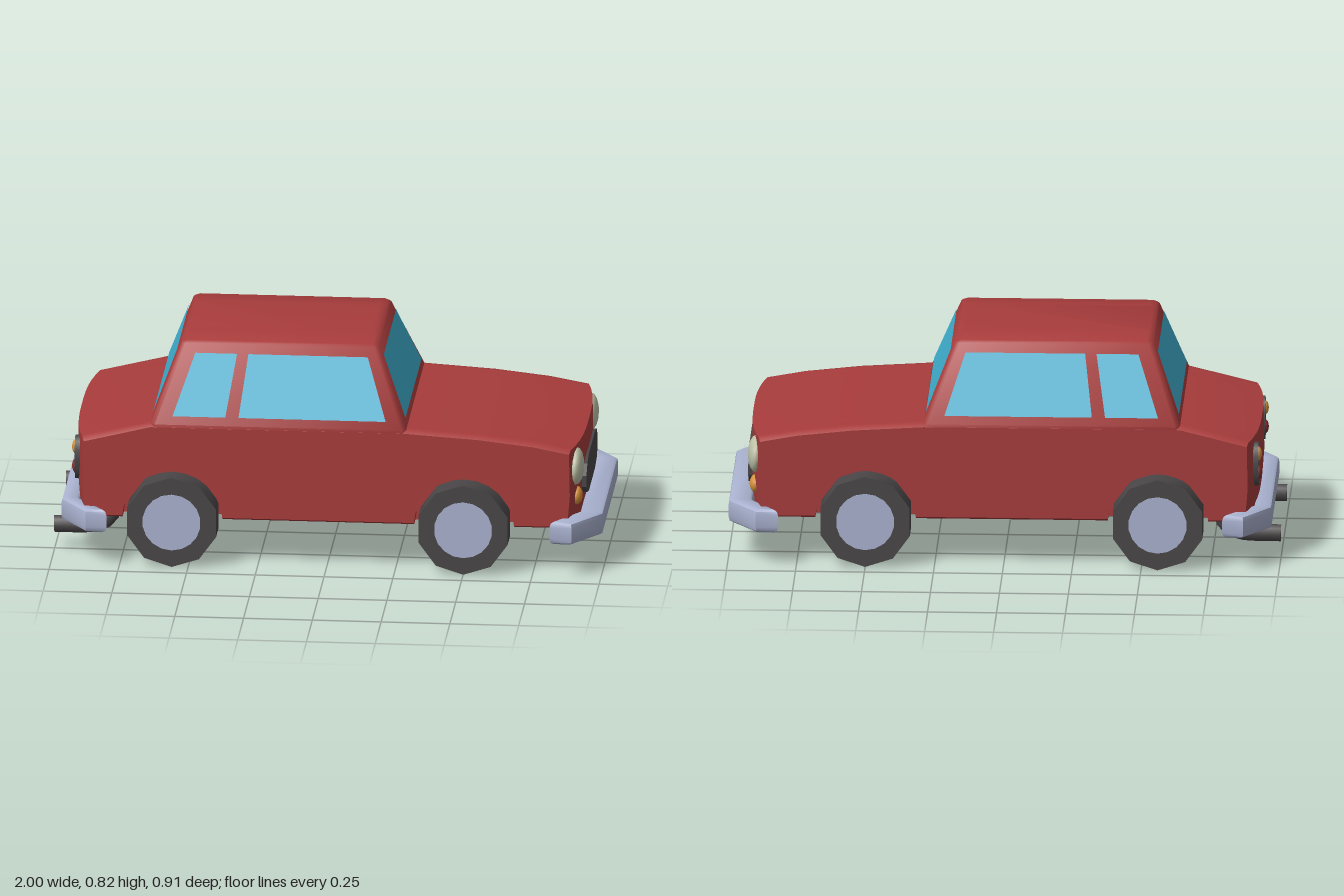
import * as THREE from 'three';
import { toCreasedNormals } from 'three/addons/utils/BufferGeometryUtils.js';

const mat = (name, color, side = THREE.FrontSide) => {
  const m = new THREE.MeshStandardMaterial({ color, side });
  m.name = name;
  return m;
};

export function createModel() {
  const car = new THREE.Group();
  car.name = 'car';
  const red = mat('red paint', 0xa83c3c);
  const glass = mat('blue glass', 0x40b0d0, THREE.DoubleSide);
  const dark = mat('dark rubber', 0x4a4648);
  const chrome = mat('pale chrome', 0xaab2d0);
  const lamp = mat('cream lamp', 0xc0c4a8);
  const amber = mat('amber lamp', 0xd8923a);
  const tailRed = mat('tail lamp red', 0x8a3030);

  const add = (name, geo, material, x = 0, y = 0, z = 0) => {
    const m = new THREE.Mesh(geo, material);
    m.name = name;
    m.position.set(x, y, z);
    car.add(m);
    return m;
  };
  const polygon = (pts) => new THREE.Shape(pts.map(([x, y]) => new THREE.Vector2(x, y)));

  // Lower body: side profile, extruded in a core and two outer panels with wheel arches
  const wheelX = [-0.56, 0.5], axleY = 0.17, sideZ = 0.403, coreZ = 0.33;
  const profile = (arches) => {
    const s = new THREE.Shape();
    s.moveTo(-0.915, 0.172);
    if (arches) {
      for (const x of wheelX) {
        s.lineTo(x - 0.182, 0.172);
        s.absarc(x, 0.172, 0.182, Math.PI, 0, true);
      }
    }
    const top = [[0.915, 0.172], [0.925, 0.3], [0.922, 0.47], [0.75, 0.495], [0.55, 0.517],
      [0.29, 0.533], [-0.64, 0.533], [-0.922, 0.472], [-0.925, 0.3]];
    top.forEach(([x, y]) => s.lineTo(x, y));
    s.closePath();
    return s;
  };
  const bodyPart = (name, z0, z1, arches) => {
    const geo = new THREE.ExtrudeGeometry(profile(arches),
      { depth: z1 - z0, steps: arches ? 4 : 10, bevelEnabled: false, curveSegments: 6 });
    geo.translate(0, 0, z0);
    const p = geo.attributes.position;
    for (let i = 0; i < p.count; i++) {
      const x = p.getX(i), y = p.getY(i), z = Math.abs(p.getZ(i));
      // bow the nose and tail in plan, and soften the outer edges
      if (Math.abs(x) > 0.85) p.setX(i, x * (1 - 0.042 * (z / 0.4) ** 3));
      if (z > 0.4) p.setY(i, y > 0.4 ? y - 0.012 : y < 0.18 ? y + 0.01 : y);
    }
    add(name, toCreasedNormals(geo, 0.7), red);
  };
  bodyPart('bodyCore', -coreZ, coreZ, false);
  bodyPart('leftBodyPanel', -sideZ, -coreZ, true);
  bodyPart('rightBodyPanel', coreZ, sideZ, true);

  // Cabin: chamfered rings [y, rear x, front x, half width] joined upward
  const rings = [[0.505, -0.642, 0.295, 0.402], [0.532, -0.64, 0.29, 0.403],
    [0.805, -0.538, 0.18, 0.28], [0.814, -0.53, 0.173, 0.268], [0.825, -0.52, 0.163, 0.16]];
  const c = 0.016, pos = [], idx = [];
  for (const [y, r, f, w] of rings) {
    const ring = [[f - c, w], [f, w - c], [f, c - w], [f - c, -w],
      [r + c, -w], [r, c - w], [r, w - c], [r + c, w]];
    ring.forEach(([x, z]) => pos.push(x, y, z));
  }
  for (let k = 0; k < rings.length - 1; k++) {
    for (let i = 0; i < 8; i++) {
      const a = k * 8 + i, b = k * 8 + (i + 1) % 8;
      idx.push(a, b, b + 8, a, b + 8, a + 8);
    }
  }
  const last = (rings.length - 1) * 8;
  for (let i = 1; i < 7; i++) idx.push(last, last + i, last + i + 1);
  const cabin = new THREE.BufferGeometry();
  cabin.setAttribute('position', new THREE.Float32BufferAttribute(pos, 3));
  cabin.setIndex(idx);
  add('cabin', toCreasedNormals(cabin, 0.85), red);

  // Windows: flat panes just outside the sloping cabin faces
  const slope = (y, lo, hi) => lo + (hi - lo) * (y - 0.532) / 0.273;
  const pane = (name, pts) => {
    const g = new THREE.BufferGeometry();
    g.setAttribute('position', new THREE.Float32BufferAttribute(pts.flat(), 3));
    g.setIndex([0, 1, 2, 0, 2, 3]);
    g.computeVertexNormals();
    add(name, g, glass);
  };
  const y0 = 0.562, y1 = 0.775;
  const sidePane = (name, s, bl, br, tr, tl) => {
    const z0 = s * (slope(y0, 0.403, 0.28) + 0.005), z1 = s * (slope(y1, 0.403, 0.28) + 0.005);
    const pts = [[bl, y0, z0], [br, y0, z0], [tr, y1, z1], [tl, y1, z1]];
    pane(name, s > 0 ? pts : pts.reverse());
  };
  for (const s of [1, -1]) {
    sidePane('rearSideWindow', s, -0.56, -0.368, -0.333, -0.485);
    sidePane('frontSideWindow', s, -0.32, 0.215, 0.142, -0.292);
  }
  const endPane = (name, s, lo, hi) => {
    const a = slope(y0, lo, hi) + s * 0.005, b = slope(y1, lo, hi) + s * 0.005;
    pane(name, [[a, y0, s * 0.343], [a, y0, -s * 0.343], [b, y1, -s * 0.262], [b, y1, s * 0.262]]);
  };
  endPane('windshield', 1, 0.29, 0.18);
  endPane('rearWindow', -1, -0.64, -0.538);

  // Wheels: ten-sided tyres with a pale hub on the outer face
  for (const x of wheelX) {
    for (const s of [1, -1]) {
      const tyre = new THREE.CylinderGeometry(0.17, 0.17, 0.1, 10);
      tyre.rotateY(Math.PI).rotateX(Math.PI / 2);
      add('tyre', toCreasedNormals(tyre, 0.8), dark, x, axleY, s * 0.384);
      const hub = new THREE.CylinderGeometry(0.106, 0.106, 0.006, 18).rotateX(Math.PI / 2);
      add('hub', hub, chrome, x, axleY, s * 0.434);
    }
  }

  // Bumpers: plan outline with swept-back ends
  const bumper = (name, s, outer, shoulder, end, inner) => {
    const half = [[outer, 0.315], [shoulder, 0.445], [end, 0.445], [inner, 0.31]];
    const pts = [...half, ...half.map(([x, z]) => [x, -z]).reverse()].map(([x, z]) => [s * x, z]);
    const geo = new THREE.ExtrudeGeometry(polygon(pts), { depth: 0.043, bevelThickness: 0.021,
      bevelSize: 0.012, bevelSegments: 2 });
    geo.rotateX(Math.PI / 2);
    add(name, toCreasedNormals(geo, 0.7), chrome, 0, 0.194, 0);
  };
  bumper('frontBumper', 1, 0.988, 0.89, 0.83, 0.925);
  bumper('rearBumper', -1, 0.958, 0.865, 0.81, 0.915);

  // Grille
  const g = [[0.24, 0.282], [0.24, 0.325], [0.2, 0.36], [0.13, 0.375]];
  const h = [[0.13, 0.235], [0.2, 0.25]];
  const flip = (a) => a.map(([z, y]) => [-z, y]).reverse();
  const grille = new THREE.ExtrudeGeometry(polygon([...h, ...g, ...flip(g), ...flip(h)]),
    { depth: 0.03, bevelEnabled: false }).rotateY(Math.PI / 2);
  add('grille', grille, dark, 0.902, 0, 0);

  // Lamps: flattened domes; exhausts: bent pipes
  const dome = (name, material, r, depth, x, y, z) => {
    const geo = new THREE.SphereGeometry(r, 12, 8).rotateZ(Math.PI / 2);
    add(name, geo, material, x, y, z).scale.x = depth / r;
  };
  for (const s of [1, -1]) {
    dome('headlight', lamp, 0.071, 0.03, 0.9, 0.387, s * 0.312);
    dome('indicator', amber, 0.035, 0.022, 0.902, 0.275, s * 0.31);

    const plate = new THREE.CylinderGeometry(0.04, 0.04, 0.024, 14).rotateZ(Math.PI / 2);
    add('tailLampPlate', plate, dark, -0.909, 0.367, s * 0.295).scale.y = 2.05;
    dome('rearIndicator', amber, 0.027, 0.014, -0.919, 0.405, s * 0.295);
    dome('tailLamp', tailRed, 0.027, 0.014, -0.919, 0.333, s * 0.295);

    const path = new THREE.CatmullRomCurve3([[-0.79, 0.19], [-0.8, 0.13], [-0.85, 0.102], [-1, 0.095]]
      .map(([x, y]) => new THREE.Vector3(x, y, s * 0.257)));
    add('exhaustPipe', new THREE.TubeGeometry(path, 10, 0.032, 8), dark);
    const tip = new THREE.CircleGeometry(0.032, 8).rotateY(-Math.PI / 2);
    add('exhaustEnd', tip, dark, -0.9995, 0.095, s * 0.257);
  }
  return car;
}
